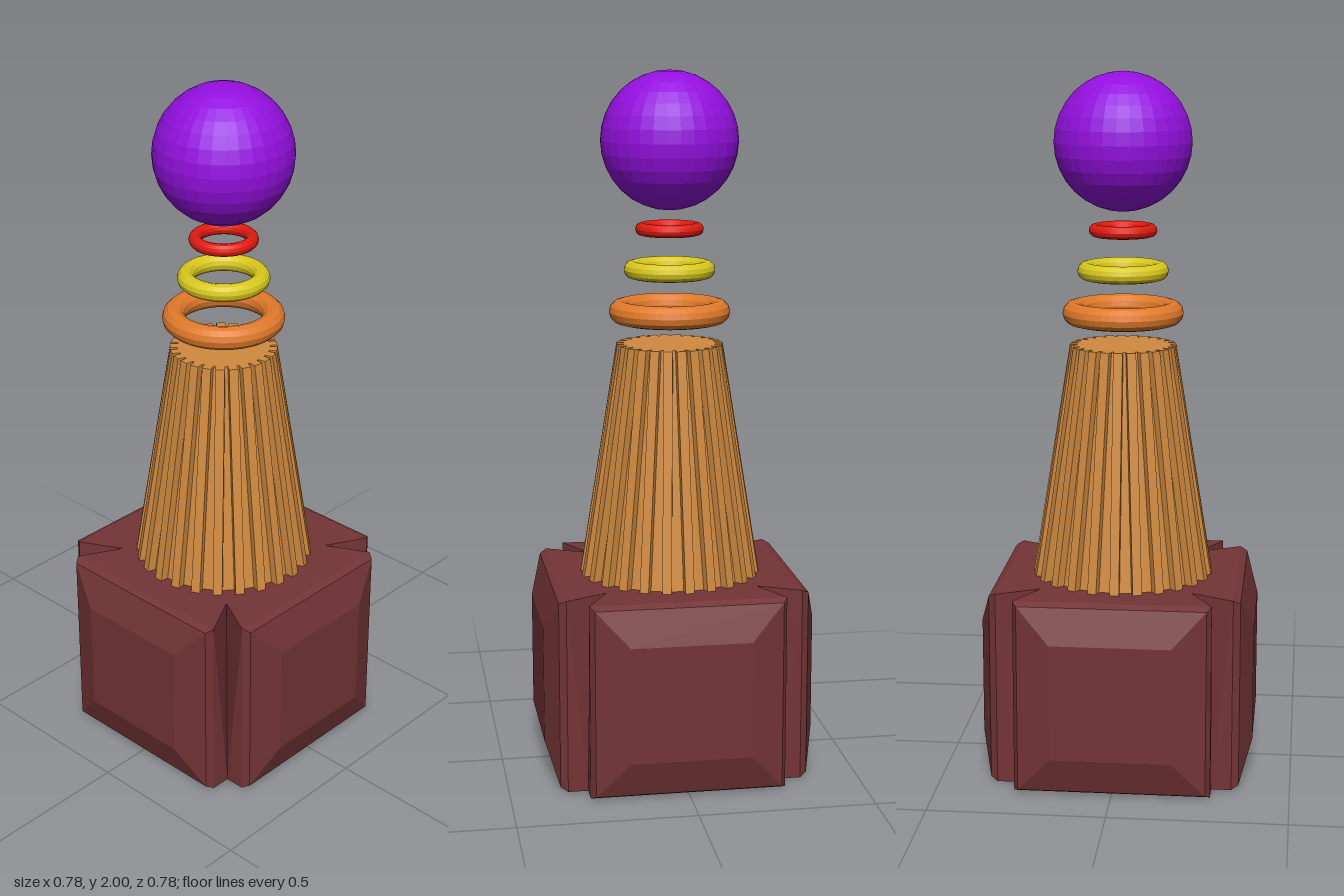
import * as THREE from 'three';

const material = (color) => new THREE.MeshStandardMaterial({ color, flatShading: true });

function addMesh(parent, name, geometry, mat, y = 0) {
  const mesh = new THREE.Mesh(geometry, mat);
  mesh.name = name;
  mesh.position.y = y;
  parent.add(mesh);
  return mesh;
}

// One quarter of the block: bulged panel facing +z, corner groove, and wedges of top and bottom
function blockSideGeometry() {
  const H = 0.56, W = 0.278, D = 0.335, NOTCH = 0.215;
  const pos = [];
  const tri = (...corners) => corners.forEach((c) => pos.push(...c));
  const quad = (a, b, c, d) => { tri(a, b, c); tri(a, c, d); };

  // panel rings: half width, bottom, top, depth
  const rings = [
    [W, 0, H, D],
    [0.265, 0.01, 0.55, 0.355],
    [0.17, 0.115, 0.45, 0.39],
  ].map(([w, lo, hi, z]) => [[-w, lo, z], [w, lo, z], [w, hi, z], [-w, hi, z]]);
  for (let r = 0; r < 2; r++) {
    for (let i = 0; i < 4; i++) {
      const j = (i + 1) % 4;
      quad(rings[r][i], rings[r][j], rings[r + 1][j], rings[r + 1][i]);
    }
  }
  quad(...rings[2]);

  const [bl, br, tr, tl] = rings[0];
  for (const s of [1, -1]) {
    const low = [s * W, 0, W], high = [s * NOTCH, H, NOTCH];
    const b = s > 0 ? br : bl, t = s > 0 ? tr : tl;
    const top = [0, H, 0], bottom = [0, 0, 0];
    if (s > 0) {
      tri(b, low, t); tri(low, high, t);       // groove wall
      tri(top, t, high); tri(bottom, low, b);
    } else {
      tri(b, t, low); tri(low, t, high);
      tri(top, high, t); tri(bottom, b, low);
    }
  }
  tri([0, H, 0], tl, tr);
  tri([0, 0, 0], br, bl);

  const geometry = new THREE.BufferGeometry();
  geometry.setAttribute('position', new THREE.Float32BufferAttribute(pos, 3));
  geometry.computeVertexNormals();
  return geometry;
}

// Upright slat leaning inwards towards its top, ends kept level
function slatGeometry(height, bottomRadius, topRadius) {
  const geometry = new THREE.BoxGeometry(0.05, height, 0.026);
  const p = geometry.attributes.position;
  for (let i = 0; i < p.count; i++) {
    const t = p.getY(i) / height + 0.5;
    p.setX(i, p.getX(i) - 0.025 + THREE.MathUtils.lerp(bottomRadius, topRadius, t));
  }
  geometry.computeVertexNormals();
  return geometry;
}

export function createModel() {
  const model = new THREE.Group();
  model.name = 'ornament';

  // Block base
  const base = new THREE.Group();
  base.name = 'base';
  model.add(base);
  const maroon = material(0x743436);
  const side = blockSideGeometry();
  for (let i = 0; i < 4; i++) {
    addMesh(base, 'baseSide', side, maroon).rotation.y = i * Math.PI / 2;
  }

  // Tapered column with slats all round
  const column = new THREE.Group();
  column.name = 'column';
  model.add(column);
  const wood = material(0xd08a40);
  const slats = 25, height = 0.67, midY = 0.56 + height / 2;
  addMesh(column, 'columnCore', new THREE.CylinderGeometry(0.132, 0.237, height, slats), wood, midY)
    .rotation.y = -Math.PI / 2;
  const slat = slatGeometry(height, 0.26, 0.152);
  for (let i = 0; i < slats; i++) {
    addMesh(column, 'slat', slat, wood, midY).rotation.y = Math.PI + i * 2 * Math.PI / slats;
  }

  // Floating rings: name, height, outer radius, tube radius, color
  for (const [name, y, outer, tube, color] of [
    ['largeRing', 1.322, 0.173, 0.033, 0xe07a2a],
    ['middleRing', 1.442, 0.13, 0.025, 0xd8c81e],
    ['smallRing', 1.557, 0.097, 0.018, 0xe01a10],
  ]) {
    addMesh(model, name, new THREE.TorusGeometry(outer - tube, tube, 12, 48), material(color), y)
      .rotation.x = Math.PI / 2;
  }

  // Floating ball
  addMesh(model, 'ball', new THREE.SphereGeometry(0.195, 32, 16), material(0x9410e0), 1.805);

  return model;
}
